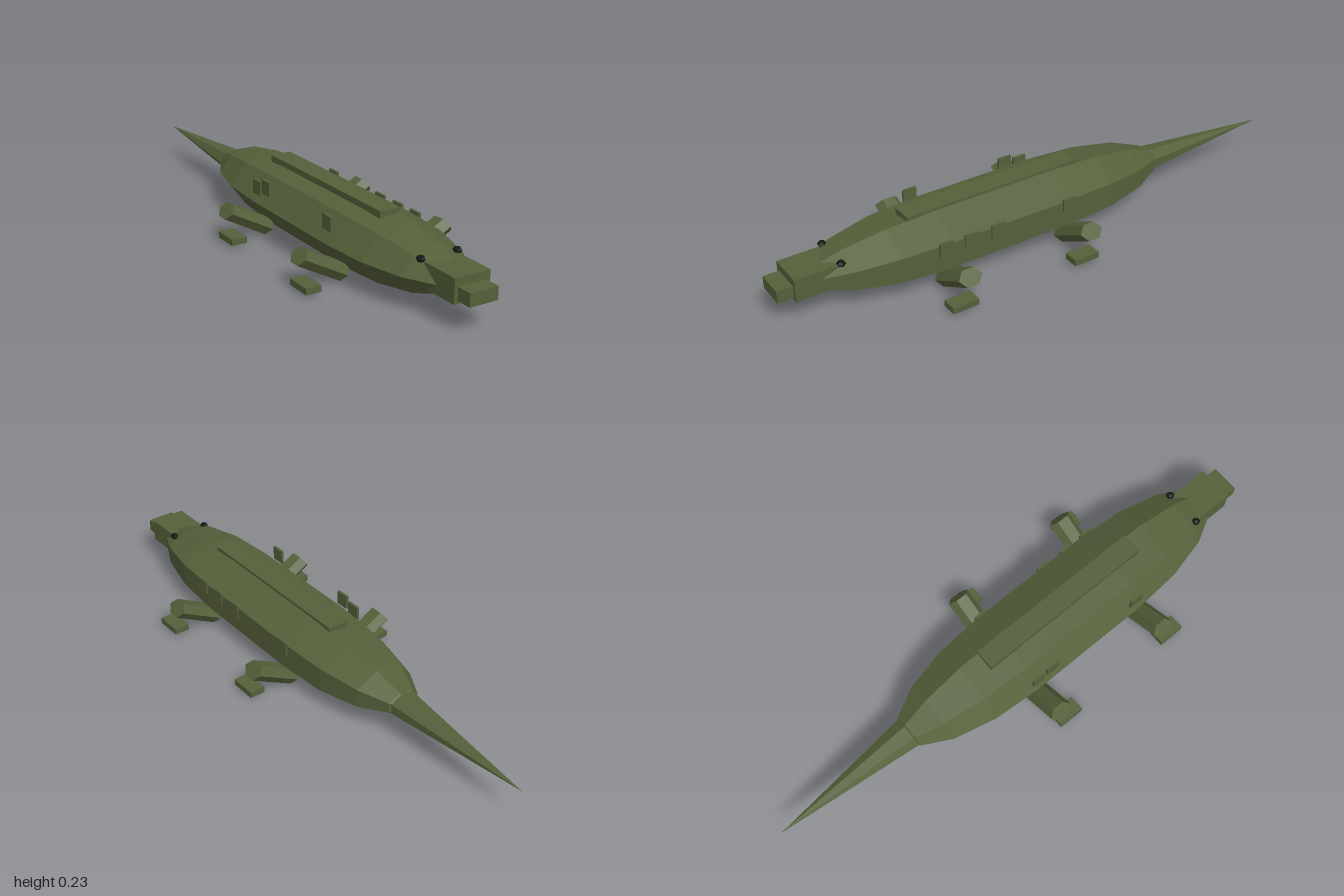
import * as THREE from 'three';

export function createModel() {
  const root = new THREE.Group();
  const olive = new THREE.MeshStandardMaterial({ color: 0x55603a, flatShading: true });
  olive.name = 'olive skin';
  const dark = new THREE.MeshStandardMaterial({ color: 0x15170f, flatShading: true });
  dark.name = 'dark eye';

  const add = (name, geometry, material = olive) => {
    const mesh = new THREE.Mesh(geometry, material);
    mesh.name = name;
    root.add(mesh);
    return mesh;
  };
  // Box given by its lower and upper limits on each axis
  const box = (name, [x0, x1], [y0, y1], [z0, z1]) =>
    add(name, new THREE.BoxGeometry(x1 - x0, y1 - y0, z1 - z0))
      .position.set((x0 + x1) / 2, (y0 + y1) / 2, (z0 + z1) / 2);

  // Seven-sided body, stretched along z
  const body = new THREE.CapsuleGeometry(1, 0.98, 4, 7);
  body.rotateX(Math.PI / 2).scale(0.168, 0.11, 0.47).translate(0, 0.118, 0.2);
  add('body', body);

  // Tapering tail
  const tail = new THREE.ConeGeometry(1, 0.53, 7);
  tail.rotateY(-Math.PI / 2).rotateX(-Math.PI / 2).scale(0.058, 0.04, 1).translate(0, 0.115, -0.735);
  add('tail', tail);

  // Head and snout
  box('head', [-0.065, 0.064], [0.087, 0.169], [0.77, 0.945]);
  box('snout', [-0.052, 0.05], [0.097, 0.141], [0.9, 1]);

  // Ridge along the back
  box('backRidge', [-0.037, 0.037], [0.2, 0.235], [-0.13, 0.535]);

  for (const s of [-1, 1]) {
    const side = s > 0 ? 'left' : 'right';

    const eye = new THREE.SphereGeometry(1, 6, 4);
    eye.scale(0.015, 0.011, 0.016).translate(s * 0.067, 0.174, 0.787);
    add(side + 'Eye', eye, dark);

    for (const [end, z] of [['Front', 0.45], ['Rear', -0.02]]) {
      // Six-sided leg, slightly sheared, rising outward from the belly
      const leg = new THREE.CylinderGeometry(1, 1, 1, 6);
      leg.applyMatrix4(new THREE.Matrix4().makeBasis(
        new THREE.Vector3(0.02, -s * 0.026, 0),
        new THREE.Vector3(s * 0.155, 0.084, 0),
        new THREE.Vector3(0, 0, 0.043)));
      leg.translate(s * 0.199, 0.066, z - 0.002);
      add(side + end + 'Leg', leg);

      const foot = new THREE.BoxGeometry(0.056, 0.022, 0.095);
      foot.translate(s * 0.271, 0.022, z + 0.03);
      add(side + end + 'Foot', foot);
    }
  }

  // Small scales on the flanks
  for (const z of [0.46, 0.365, 0.265, -0.02])
    box('leftScale', [0.148, 0.157], [0.128, 0.177], [z - 0.025, z + 0.025]);
  for (const [z, y] of [[0.42, 0.185], [0.04, 0.185], [-0.02, 0.17]])
    box('rightScale', [-0.16, -0.151], [y - 0.025, y + 0.025], [z - 0.025, z + 0.025]);

  return root;
}
